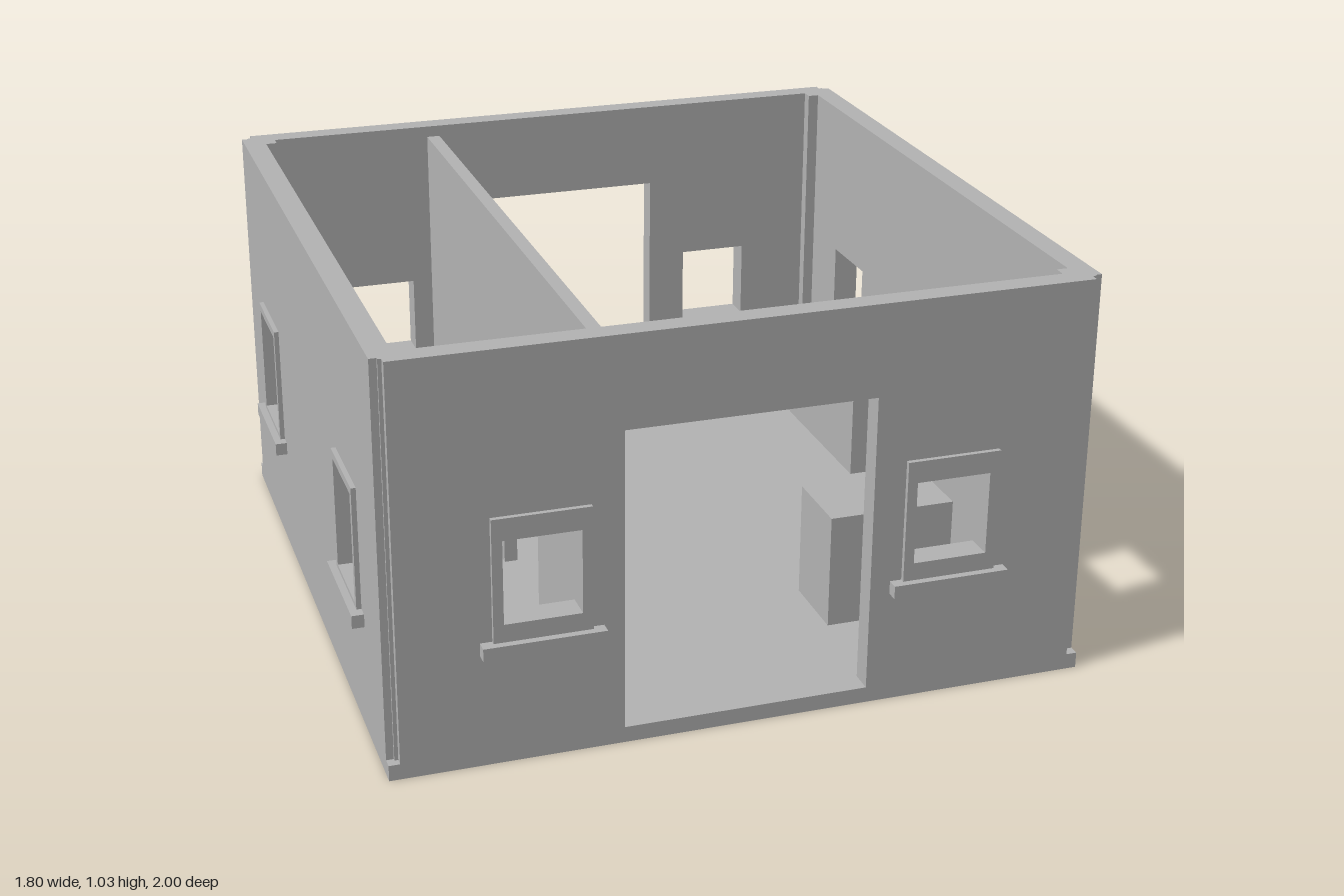
import * as THREE from 'three';

const TOP = 1.03, FLOOR = 0.04, THICK = 0.057;

export function createModel() {
  const model = new THREE.Group();
  model.name = 'house';
  const plaster = new THREE.MeshStandardMaterial({ color: 0xb3b3b3 });
  plaster.name = 'grey plaster';

  // Box given by its minimum and maximum corners
  function box(parent, name, x0, x1, y0, y1, z0, z1) {
    const mesh = new THREE.Mesh(new THREE.BoxGeometry(x1 - x0, y1 - y0, z1 - z0), plaster);
    mesh.position.set((x0 + x1) / 2, (y0 + y1) / 2, (z0 + z1) / 2);
    mesh.name = name;
    parent.add(mesh);
    return mesh;
  }

  function rect(path, x0, x1, y0, y1) {
    path.moveTo(x0, y0);
    path.lineTo(x1, y0);
    path.lineTo(x1, y1);
    path.lineTo(x0, y1);
    path.closePath();
    return path;
  }

  // Upright plate with openings, its outer face at z = depth + z0
  function plate(parent, name, outline, holes, depth, z0) {
    const shape = rect(new THREE.Shape(), ...outline);
    holes.forEach((h) => shape.holes.push(rect(new THREE.Path(), ...h)));
    const geo = new THREE.ExtrudeGeometry(shape, { depth, bevelEnabled: false });
    geo.translate(0, 0, z0);
    const mesh = new THREE.Mesh(geo, plaster);
    mesh.name = name;
    parent.add(mesh);
    return mesh;
  }

  // Wall with two windows, and an optional doorway
  function wall(name, x, z, turn, win, hasDoor) {
    const group = new THREE.Group();
    group.name = name;
    const { centre, half, bottom, top } = win;
    const openings = [-centre, centre].map((c) => [c - half, c + half, bottom, top]);
    const shape = new THREE.Shape();
    const w = 0.843;
    shape.moveTo(-w, FLOOR);
    if (hasDoor) {
      shape.lineTo(-0.305, FLOOR);
      shape.lineTo(-0.305, 0.8);
      shape.lineTo(0.305, 0.8);
      shape.lineTo(0.305, FLOOR);
    }
    shape.lineTo(w, FLOOR);
    shape.lineTo(w, TOP);
    shape.lineTo(-w, TOP);
    shape.closePath();
    openings.forEach((o) => shape.holes.push(rect(new THREE.Path(), ...o)));
    const geo = new THREE.ExtrudeGeometry(shape, { depth: THICK, bevelEnabled: false });
    geo.translate(0, 0, -THICK);
    const panel = new THREE.Mesh(geo, plaster);
    panel.name = name + 'Panel';
    group.add(panel);

    // Window trims and sills
    openings.forEach((o, i) => {
      const c = i ? centre : -centre;
      plate(group, 'windowTrim', [c - 0.118, c + 0.118, 0.315, 0.63], [o], 0.012, 0);
      box(group, 'windowSill', c - 0.147, c + 0.147, 0.287, 0.32, 0, 0.03);
    });
    group.position.set(x, 0, z);
    group.rotation.y = turn;
    model.add(group);
  }

  // Floor slab
  box(model, 'floorSlab', -0.87, 0.87, 0, FLOOR, -0.772, 0.967);

  // Outer walls
  const endWindow = { centre: 0.502, half: 0.093, bottom: 0.365, top: 0.575 };
  const sideWindow = { centre: 0.508, half: 0.1, bottom: 0.33, top: 0.61 };
  const midZ = 0.0975;
  wall('frontWall', 0, 0.967, 0, endWindow, true);
  wall('backWall', 0, -0.772, Math.PI, endWindow, true);
  wall('leftWall', 0.87, midZ, Math.PI / 2, sideWindow, false);
  wall('rightWall', -0.87, midZ, -Math.PI / 2, sideWindow, false);

  // Corner posts
  for (const sx of [-1, 1]) {
    for (const sz of [-1, 1]) {
      const x = sx * 0.818, z = midZ + sz * 0.816;
      box(model, 'cornerPost', x - 0.034, x + 0.034, FLOOR, TOP, z - 0.034, z + 0.034);
    }
  }

  // Inner partition with a doorway
  box(model, 'partitionFront', -0.355, -0.32, FLOOR, 1, 0.4, 0.912);
  box(model, 'partitionBack', -0.355, -0.32, FLOOR, 1, -0.717, 0.06);
  box(model, 'partitionHeader', -0.355, -0.32, 0.65, 1, 0.06, 0.4);

  // Furniture
  box(model, 'bed', -0.575, -0.36, FLOOR, 0.13, -0.71, -0.2);
  box(model, 'pillow', -0.55, -0.385, 0.13, 0.155, -0.345, -0.22);
  box(model, 'wallCounter', 0.63, 0.815, 0.17, 0.43, -0.38, 0.08);
  box(model, 'table', 0.335, 0.665, FLOOR, 0.34, 0.45, 0.65);

  // Back canopy and planter
  box(model, 'canopy', -0.43, 0.42, 0.845, 0.88, -1, -0.77);
  box(model, 'planter', -0.735, -0.335, 0.035, 0.2, -0.97, -0.77);

  return model;
}
